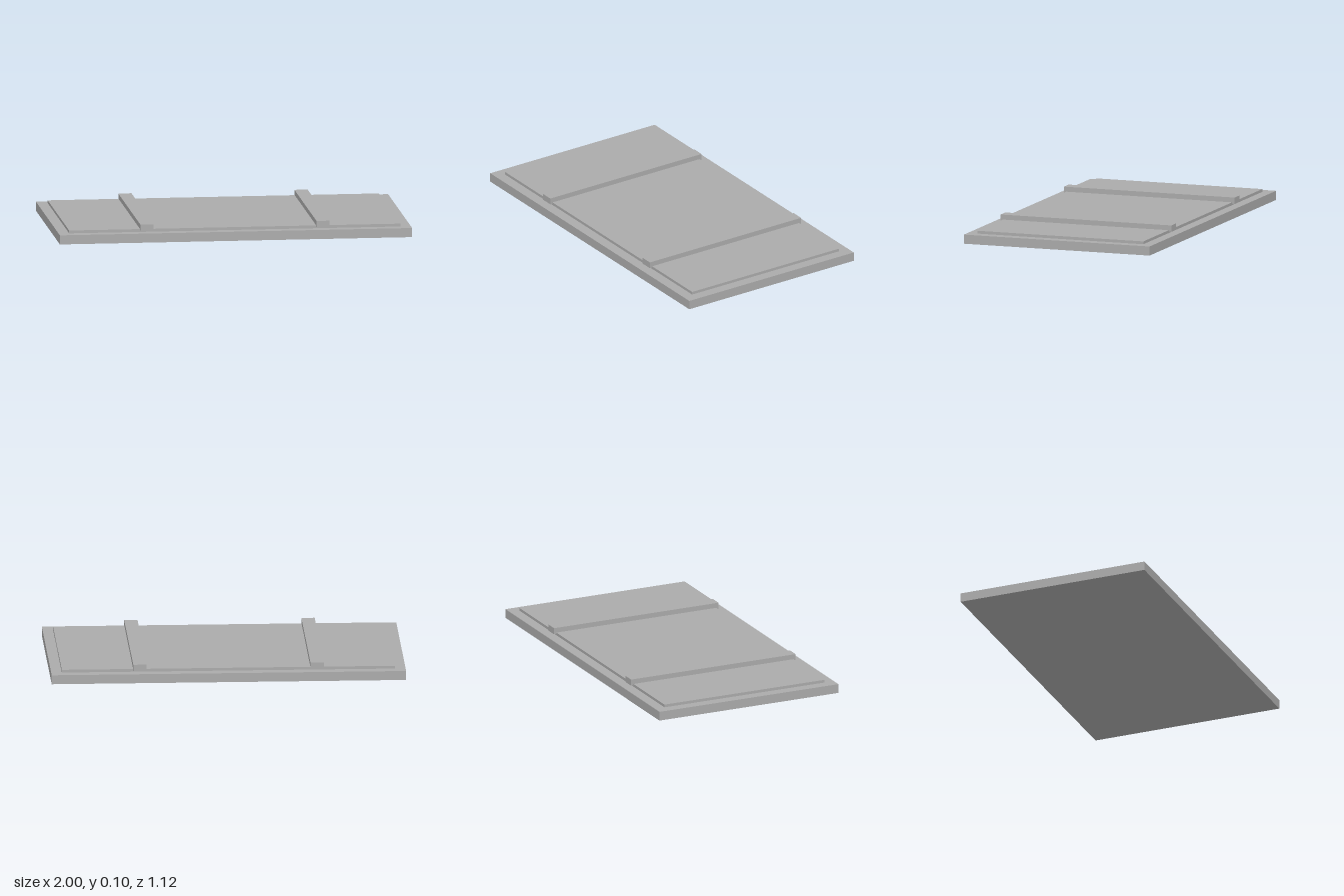
import * as THREE from 'three';

export function createModel() {
  const group = new THREE.Group();
  const grey = new THREE.MeshStandardMaterial({ color: 0xaaaaaa });
  grey.name = 'grey';

  // Box spanning y0 to y1, centred on z = 0
  const slab = (name, width, y0, y1, depth, x = 0) => {
    const mesh = new THREE.Mesh(new THREE.BoxGeometry(width, y1 - y0, depth), grey);
    mesh.name = name;
    mesh.position.set(x, (y0 + y1) / 2, 0);
    group.add(mesh);
  };

  // Base board with a raised inset panel
  slab('baseBoard', 2, 0, 0.052, 1.12);
  slab('raisedPanel', 1.88, 0.05, 0.068, 1);

  // Cross battens, overhanging the panel just clear of the base
  for (const side of [-1, 1]) {
    slab(side > 0 ? 'leftBatten' : 'rightBatten', 0.075, 0.06, 0.096, 1.03, side * 0.5);
  }
  return group;
}
